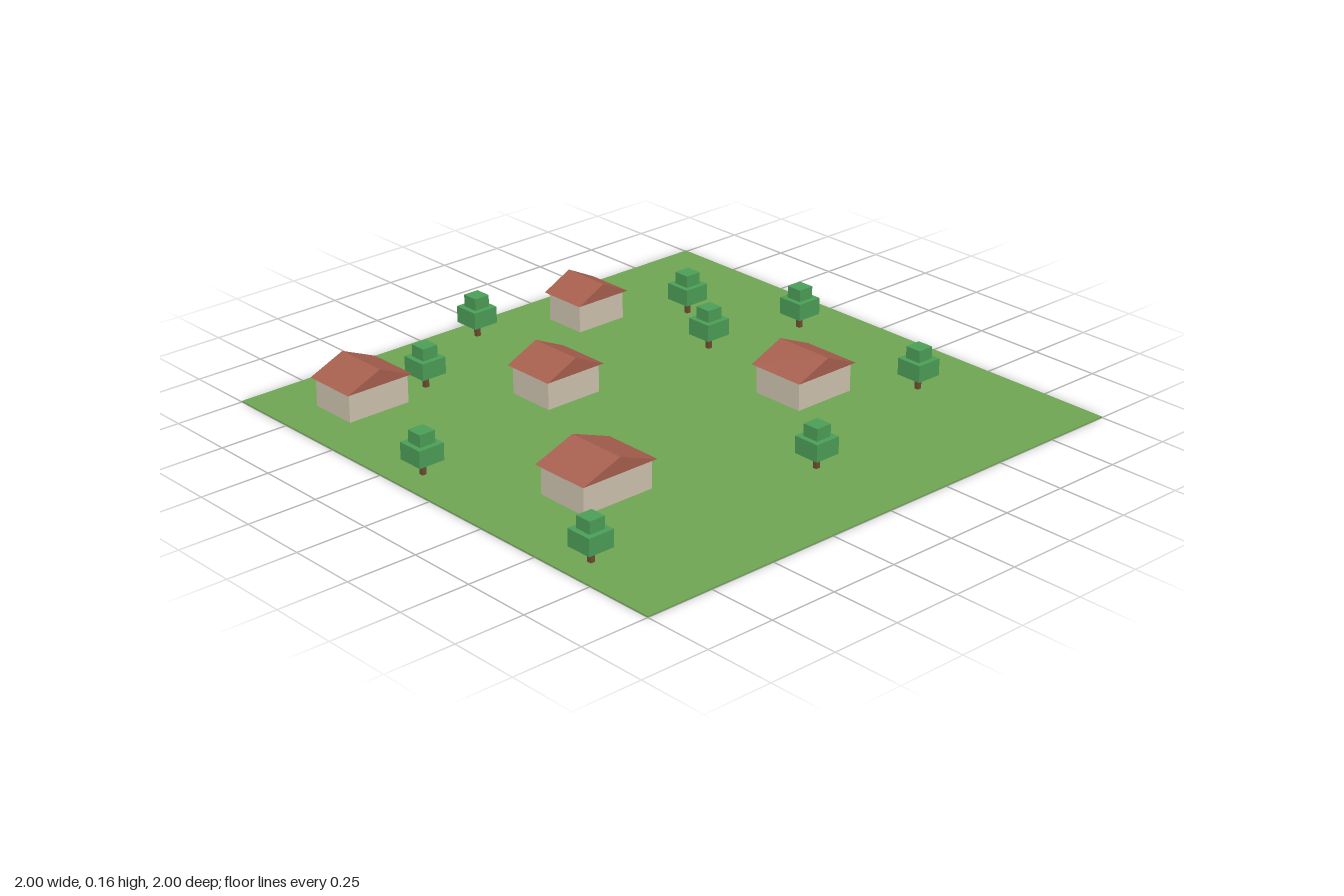
import * as THREE from 'three';

const GROUND = 0.004;
const material = (color) => new THREE.MeshStandardMaterial({ color, flatShading: true });

// box standing on height y
function block(name, mat, w, h, d, y) {
  const mesh = new THREE.Mesh(new THREE.BoxGeometry(w, h, d), mat);
  mesh.name = name;
  mesh.position.y = y + h / 2;
  return mesh;
}

// triangular prism with its ridge along z
function gable(mat, w, h, d, y) {
  const profile = new THREE.Shape([
    new THREE.Vector2(-w / 2, 0),
    new THREE.Vector2(w / 2, 0),
    new THREE.Vector2(0, h),
  ]);
  const geometry = new THREE.ExtrudeGeometry(profile, { depth: d, bevelEnabled: false });
  geometry.translate(0, y, -d / 2);
  const mesh = new THREE.Mesh(geometry, mat);
  mesh.name = 'roof';
  return mesh;
}

export function createModel() {
  const model = new THREE.Group();
  model.name = 'village';
  const grass = material(0x6fa653);
  const plaster = material(0xcfc4b0);
  const tiles = material(0xa8604f);
  const bark = material(0x6e4d2f);
  const leaves = material(0x4c9f58);

  // lawn
  model.add(block('ground', grass, 2, GROUND, 2, 0));

  // houses: x, z, wall width, wall depth
  const eaves = 0.106, ridge = 0.162, overhang = 0.012;
  const houses = [
    [-0.72, -0.71, 0.24, 0.18],
    [-0.19, -0.35, 0.22, 0.18],
    [0.3, -0.76, 0.2, 0.16],
    [-0.58, 0.3, 0.28, 0.2],
    [0.42, 0.2, 0.24, 0.2],
  ];
  for (const [x, z, w, d] of houses) {
    const house = new THREE.Group();
    house.name = 'house';
    house.add(
      block('walls', plaster, w, eaves - GROUND, d, GROUND),
      gable(tiles, w + 2 * overhang, ridge - eaves, d + 2 * overhang, eaves),
    );
    house.position.set(x, 0, z);
    model.add(house);
  }

  // trees: x, z
  const trees = [
    [-0.9, -0.16], [-0.48, -0.68], [-0.08, -0.9],
    [0.6, -0.56], [0.44, -0.28], [0.8, -0.2],
    [0.72, 0.44], [0.04, 0.64], [-0.9, 0.64],
  ];
  for (const [x, z] of trees) {
    const tree = new THREE.Group();
    tree.name = 'tree';
    tree.add(
      block('trunk', bark, 0.016, 0.052, 0.016, GROUND),
      block('lowerCanopy', leaves, 0.097, 0.06, 0.097, 0.054),
      block('upperCanopy', leaves, 0.06, 0.043, 0.06, 0.114),
    );
    tree.position.set(x, 0, z);
    model.add(tree);
  }
  return model;
}
